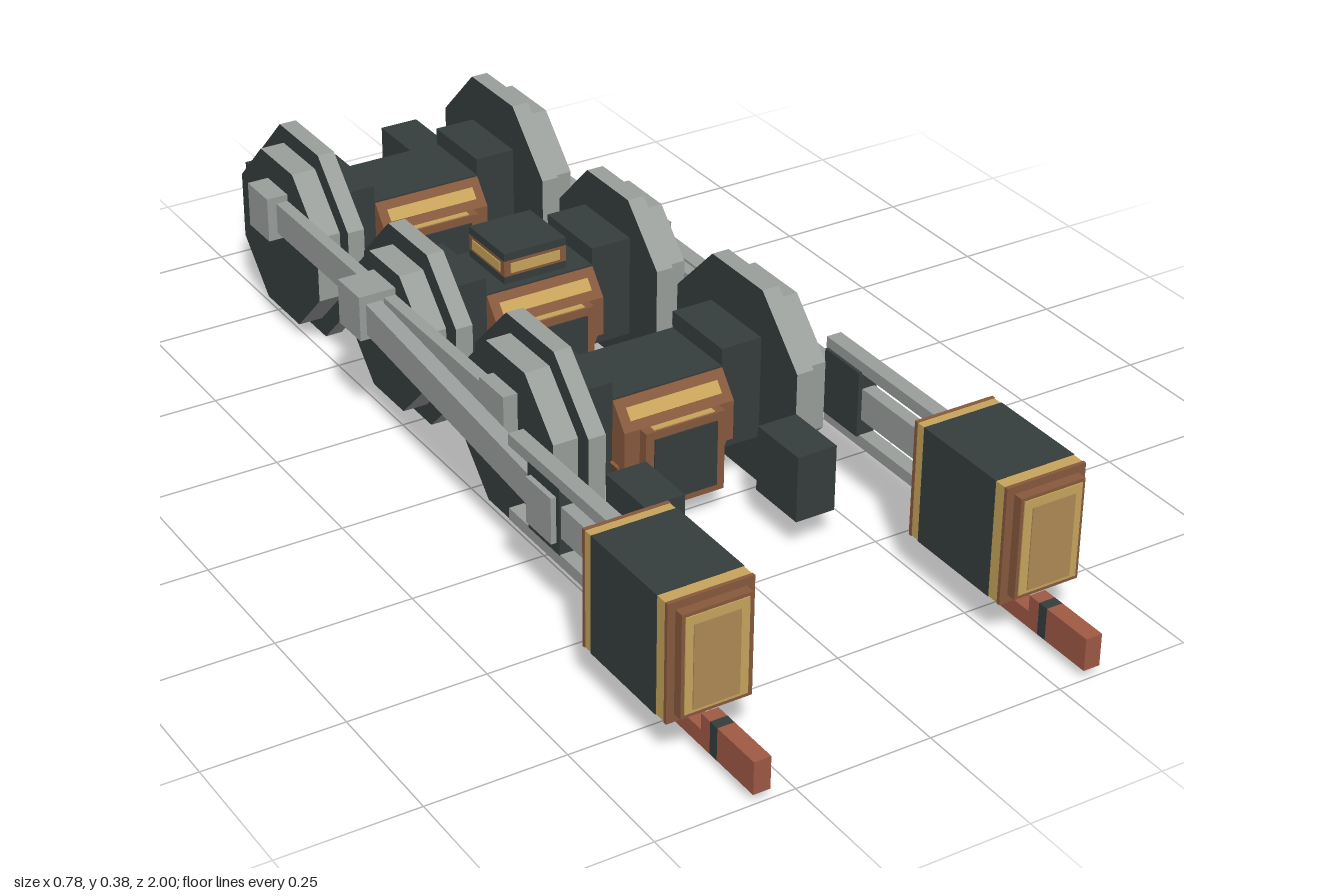
import * as THREE from 'three';

const mat = (name, color) => {
  const m = new THREE.MeshStandardMaterial({ color });
  m.name = name;
  return m;
};

export function createModel() {
  const dark = mat('dark iron', 0x363d3d);
  const steel = mat('steel', 0x9a9f9c);
  const bronze = mat('bronze', 0x87593c);
  const gold = mat('gold', 0xc8a55c);
  const tan = mat('tan brass', 0xb08b57);
  const brick = mat('copper red', 0xa05a45);

  const root = new THREE.Group();
  root.name = 'runningGear';
  const group = (name, parent = root) => {
    const g = new THREE.Group();
    g.name = name;
    parent.add(g);
    return g;
  };
  // box given by its min/max extents
  const box = (parent, name, m, x0, x1, y0, y1, z0, z1) => {
    const mesh = new THREE.Mesh(new THREE.BoxGeometry(Math.abs(x1 - x0), y1 - y0, z1 - z0), m);
    mesh.position.set((x0 + x1) / 2, (y0 + y1) / 2, (z0 + z1) / 2);
    mesh.name = name;
    parent.add(mesh);
    return mesh;
  };
  const CY = 0.1875;

  // octagonal disc with dark faces and a steel rim
  const disc = (parent, name, apothem, x0, x1, z) => {
    const geo = new THREE.CylinderGeometry(1, 1, Math.abs(x1 - x0), 8).toNonIndexed();
    geo.rotateY(Math.PI / 8);
    const r = apothem / Math.cos(Math.PI / 8);
    geo.scale(r, 1, r);
    geo.rotateZ(Math.PI / 2);
    geo.computeVertexNormals();
    const mesh = new THREE.Mesh(geo, [steel, dark, dark]);
    mesh.position.set((x0 + x1) / 2, CY, z);
    mesh.name = name;
    parent.add(mesh);
  };
  // bar between two points in a side plane
  const rod = (parent, name, x0, x1, a, b) => {
    const dz = a[0] - b[0], dy = a[1] - b[1];
    const mesh = new THREE.Mesh(new THREE.BoxGeometry(Math.abs(x1 - x0), 0.06, Math.hypot(dz, dy) + 0.07), steel);
    mesh.position.set((x0 + x1) / 2, (a[1] + b[1]) / 2, (a[0] + b[0]) / 2);
    mesh.rotation.x = -Math.atan2(dy, dz);
    mesh.name = name;
    parent.add(mesh);
  };

  const axles = [{ z: 0.157, r: 0.1875, t: 0.155 }, { z: -0.268, r: 0.17, t: 0.135 }, { z: -0.688, r: 0.1875, t: 0.155 }];

  // wheels, axle boxes and the gear housing on each axle
  axles.forEach(({ z, r, t }) => {
    const set = group('wheelSet');
    for (const s of [1, -1]) {
      disc(set, 'wheelFlange', r, s * 0.187, s * 0.22, z);
      disc(set, 'wheelTread', t, s * 0.22, s * 0.267, z);
      box(set, 'axleBox', dark, s * 0.108, s * 0.187, 0.09, 0.285, z - 0.078, z + 0.078);
    }
    const h = group('axleHousing', set);
    h.position.z = z;

    // upper block with sloped ends
    const p = new THREE.Shape();
    [[-0.117, 0.13], [0.117, 0.13], [0.117, 0.205], [0.08, 0.25], [-0.08, 0.25], [-0.117, 0.205]]
      .forEach(([a, b], i) => (i ? p.lineTo(a, b) : p.moveTo(a, b)));
    const upper = new THREE.ExtrudeGeometry(p, { depth: 0.216, bevelEnabled: false });
    upper.translate(0, 0, -0.108).rotateY(-Math.PI / 2);
    const upperMesh = new THREE.Mesh(upper, bronze);
    upperMesh.name = 'upperBlock';
    h.add(upperMesh);
    box(h, 'upperCover', dark, -0.108, 0.108, 0.248, 0.253, -0.078, 0.078);

    // lower case with dark panels
    box(h, 'lowerCase', bronze, -0.078, 0.078, 0.052, 0.205, -0.137, 0.137);
    box(h, 'bottomPanel', dark, -0.07, 0.07, 0.05, 0.054, -0.13, 0.13);
    for (const s of [1, -1]) {
      const end = box(h, 'endPanel', dark, -0.062, 0.062, 0.065, 0.19, -0.002, 0.002);
      end.position.z = s * 0.138;
      const ledge = box(h, 'ledgeStrip', gold, -0.06, 0.06, 0.204, 0.207, -0.006, 0.006);
      ledge.position.z = s * 0.127;
      const strip = box(h, 'slopeStrip', gold, -0.09, 0.09, -0.002, 0.002, -0.012, 0.012);
      strip.position.set(0, 0.2275, s * 0.0985);
      strip.rotation.x = s * Math.atan2(0.045, 0.037);
      // diagonal side braces
      const brace = box(h, 'sideBrace', bronze, -0.006, 0.006, -0.04, 0.04, -0.1, 0.1);
      brace.position.set(s * 0.091, 0.098, 0);
      brace.rotation.z = -s * 0.42;
      const trim = box(h, 'braceTrim', gold, -0.008, 0.008, -0.025, 0.025, -0.06, 0.06);
      trim.scale.x = 0.2;
      trim.position.set(s * 0.0975, 0.094, 0);
      trim.rotation.z = -s * 0.42;
    }
  });

  // raised hatch on the middle axle
  const hatch = group('hatch');
  hatch.position.z = -0.268;
  box(hatch, 'hatchBase', dark, -0.063, 0.063, 0.25, 0.267, -0.063, 0.063);
  box(hatch, 'hatchBand', bronze, -0.063, 0.063, 0.267, 0.298, -0.063, 0.063);
  box(hatch, 'hatchTrim', gold, -0.05, 0.05, 0.273, 0.292, -0.065, 0.065);
  box(hatch, 'hatchTrim', gold, -0.065, 0.065, 0.273, 0.292, -0.05, 0.05);
  box(hatch, 'hatchLid', dark, -0.063, 0.063, 0.298, 0.313, -0.063, 0.063);

  for (const s of [1, -1]) {
    const side = group(s > 0 ? 'leftSide' : 'rightSide');
    // frame ends
    box(side, 'frontFrameEnd', dark, s * 0.11, s * 0.187, 0.065, 0.19, 0.345, 0.465);
    box(side, 'rearFrameEnd', dark, s * 0.11, s * 0.187, 0.065, 0.19, -1, -0.875);

    // cranks are a quarter turn apart between the two sides
    const pin = s > 0 ? [-0.062, CY + 0.003] : [0, CY + 0.062];
    const cross = [s > 0 ? 0.325 : 0.385, CY + 0.003];
    const pins = axles.map(a => [a.z + pin[0], pin[1]]);
    rod(side, 'couplingRod', s * 0.267, s * 0.29, pins[0], pins[2]);
    rod(side, 'mainRod', s * 0.295, s * 0.325, cross, pins[1]);
    const bolt = (name, [z, y], x0, x1) =>
      box(side, name, steel, s * x0, s * x1, y - 0.043, y + 0.043, z - 0.04, z + 0.04);
    bolt('crankPin', pins[0], 0.267, 0.294);
    bolt('crankPin', pins[1], 0.267, 0.338);
    bolt('crankPin', pins[2], 0.267, 0.308);

    // crosshead, guide bars and piston rod
    const [cz, cy] = cross;
    box(side, 'crosshead', dark, s * 0.292, s * 0.328, cy - 0.062, cy + 0.062, cz - 0.05, cz + 0.05);
    bolt('crossheadPin', cross, 0.32, 0.338);
    box(side, 'upperGuideBar', steel, s * 0.298, s * 0.327, 0.25, 0.272, 0.27, 0.6);
    box(side, 'lowerGuideBar', steel, s * 0.298, s * 0.327, 0.108, 0.13, 0.27, 0.6);
    box(side, 'pistonRod', steel, s * 0.3, s * 0.325, 0.16, 0.22, cz, 0.6);

    // cylinder
    const c = group('cylinder', side);
    box(c, 'cylinderBody', dark, s * 0.235, s * 0.39, 0.08, 0.297, 0.635, 0.825);
    for (const [a, b, e0, e1] of [[0.61, 0.617, 0.595, 0.61], [0.848, 0.855, 0.855, 0.873]]) {
      box(c, 'endRim', bronze, s * 0.235, s * 0.39, 0.08, 0.297, a, b);
      box(c, 'endCap', bronze, s * 0.25, s * 0.376, 0.095, 0.283, e0, e1);
    }
    for (const [a, b] of [[0.617, 0.635], [0.825, 0.848]])
      box(c, 'cylinderBand', gold, s * 0.236, s * 0.389, 0.081, 0.296, a, b);
    for (const z of [0.595, 0.873]) {
      box(c, 'capPlate', gold, s * 0.256, s * 0.37, 0.102, 0.277, z - 0.002, z + 0.002);
      box(c, 'capCentre', tan, s * 0.272, s * 0.356, 0.108, 0.262, z - 0.004, z + 0.004);
    }

    // drain pipe under the cylinder
    const d = group('drainPipe', side);
    box(d, 'pipeFront', brick, s * 0.296, s * 0.327, 0.018, 0.078, 0.9, 1);
    box(d, 'pipeJoint', dark, s * 0.296, s * 0.327, 0.018, 0.078, 0.88, 0.9);
    box(d, 'pipeElbow', brick, s * 0.296, s * 0.327, 0.018, 0.078, 0.855, 0.88);
    box(d, 'pipeRun', brick, s * 0.296, s * 0.327, 0.018, 0.048, 0.645, 0.855);
    box(d, 'pipePost', brick, s * 0.296, s * 0.327, 0.048, 0.082, 0.645, 0.672);
  }
  return root;
}
